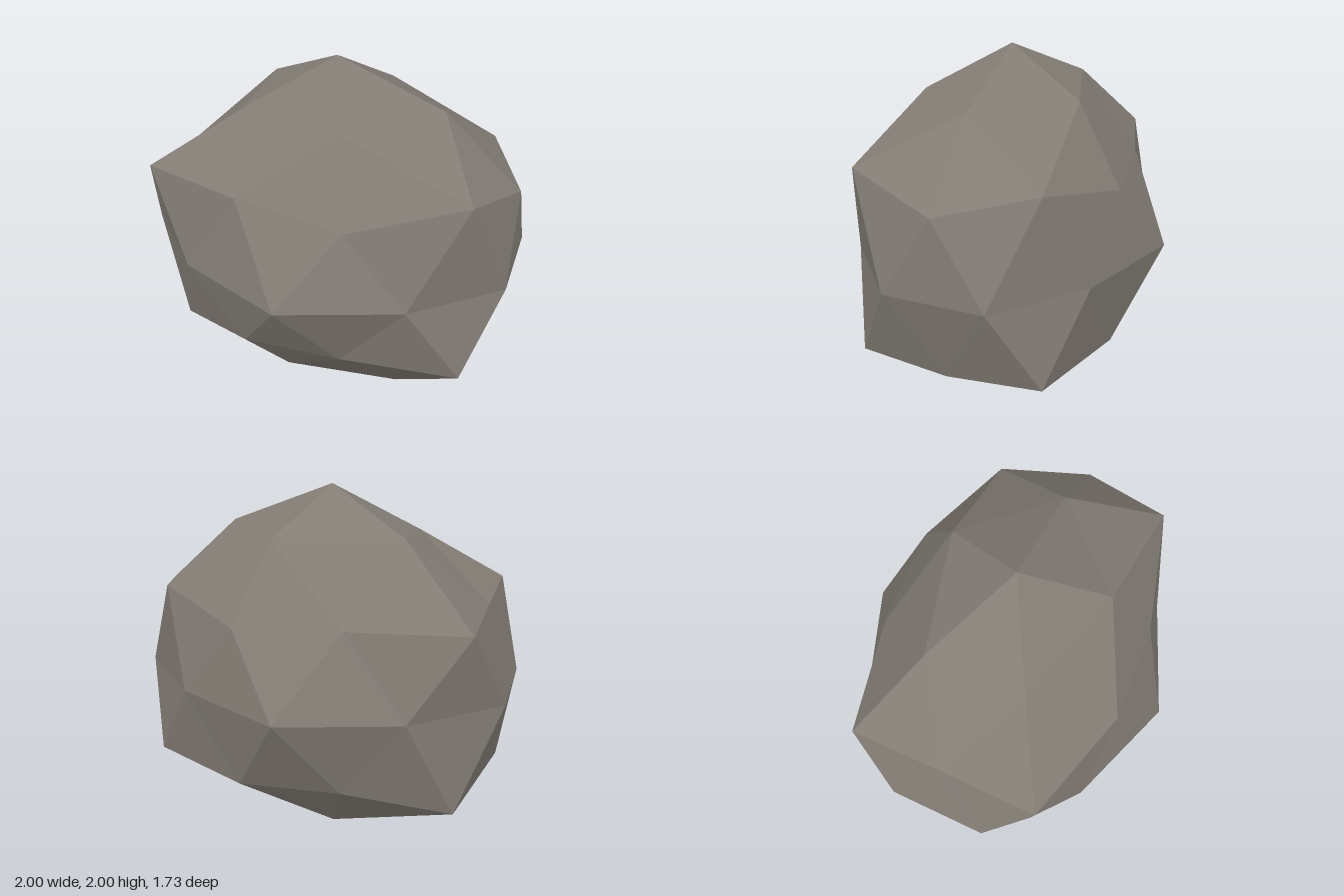
import * as THREE from 'three';

// Rings run around the y axis from +x towards +z, as [x, y, z]
const top = [0, 2, 0];
const bottom = [0, 0, 0];
const upperCap = [
  [0.57, 1.78, 0], [0.175, 1.77, 0.415], [-0.43, 1.74, 0.24],
  [-0.46, 1.79, -0.25], [0.17, 1.775, -0.42],
];
const upperRing = [
  [0.98, 1.42, 0], [0.83, 1.54, 0.47], [0.27, 1.38, 0.64], [-0.27, 1.47, 0.66],
  [-0.855, 1.46, 0.485], [-0.85, 1.43, 0], [-0.855, 1.42, -0.49],
  [-0.27, 1.42, -0.62], [0.28, 1.39, -0.67], [0.76, 1.5, -0.44],
];
const equator = [
  [1, 1, 0.26], [0.59, 1, 0.63], [0, 1, 0.865], [-0.59, 1, 0.645], [-1, 1, 0.255],
  [-1, 1, -0.26], [-0.59, 1, -0.645], [0, 1, -0.865], [0.59, 1, -0.63], [1, 1, -0.26],
];
const lowerRing = [
  [0.885, 0.53, 0], [0.85, 0.55, 0.485], [0.24, 0.58, 0.6], [-0.27, 0.615, 0.67],
  [-0.76, 0.5, 0.44], [-0.95, 0.59, 0], [-0.81, 0.45, -0.46],
  [-0.27, 0.57, -0.65], [0.28, 0.53, -0.67], [0.85, 0.55, -0.485],
];
const lowerCap = [
  [0.46, 0.21, 0.26], [-0.15, 0.26, 0.4], [-0.55, 0.25, 0],
  [-0.15, 0.24, -0.41], [0.45, 0.27, -0.26],
];

// Faceted boulder: a subdivided icosahedron with uneven corners
function buildRock() {
  const points = [];
  const at = (ring, i) => ring[i % ring.length];
  const tri = (a, b, c) => points.push(...a, ...b, ...c);

  // Top and bottom caps, five wedges of four facets each
  for (let k = 0; k < 5; k++) {
    const a = upperCap[k], b = at(upperCap, k + 1);
    const u = upperRing[2 * k], m = upperRing[2 * k + 1], v = at(upperRing, 2 * k + 2);
    tri(top, b, a);
    tri(a, m, u);
    tri(a, b, m);
    tri(b, v, m);

    const c = lowerCap[k], d = at(lowerCap, k + 1);
    const p = lowerRing[2 * k + 1], q = at(lowerRing, 2 * k + 2), r = at(lowerRing, 2 * k + 3);
    tri(bottom, c, d);
    tri(c, p, q);
    tri(c, q, d);
    tri(d, q, r);
  }

  // Zigzag bands above and below the equator
  for (let j = 0; j < 10; j++) {
    const e = equator[j], f = at(equator, j + 1);
    tri(upperRing[j], at(upperRing, j + 1), e);
    tri(e, at(upperRing, j + 1), f);
    tri(lowerRing[j], e, at(lowerRing, j + 1));
    tri(e, f, at(lowerRing, j + 1));
  }

  const geometry = new THREE.BufferGeometry();
  geometry.setAttribute('position', new THREE.Float32BufferAttribute(points, 3));
  geometry.computeVertexNormals(); // unshared corners give flat facets
  return geometry;
}

export function createModel() {
  const stone = new THREE.MeshStandardMaterial({ color: 0x827c74 });
  stone.name = 'stone grey';
  const rock = new THREE.Mesh(buildRock(), stone);
  rock.name = 'rock';
  const group = new THREE.Group();
  group.name = 'boulder';
  group.add(rock);
  return group;
}
